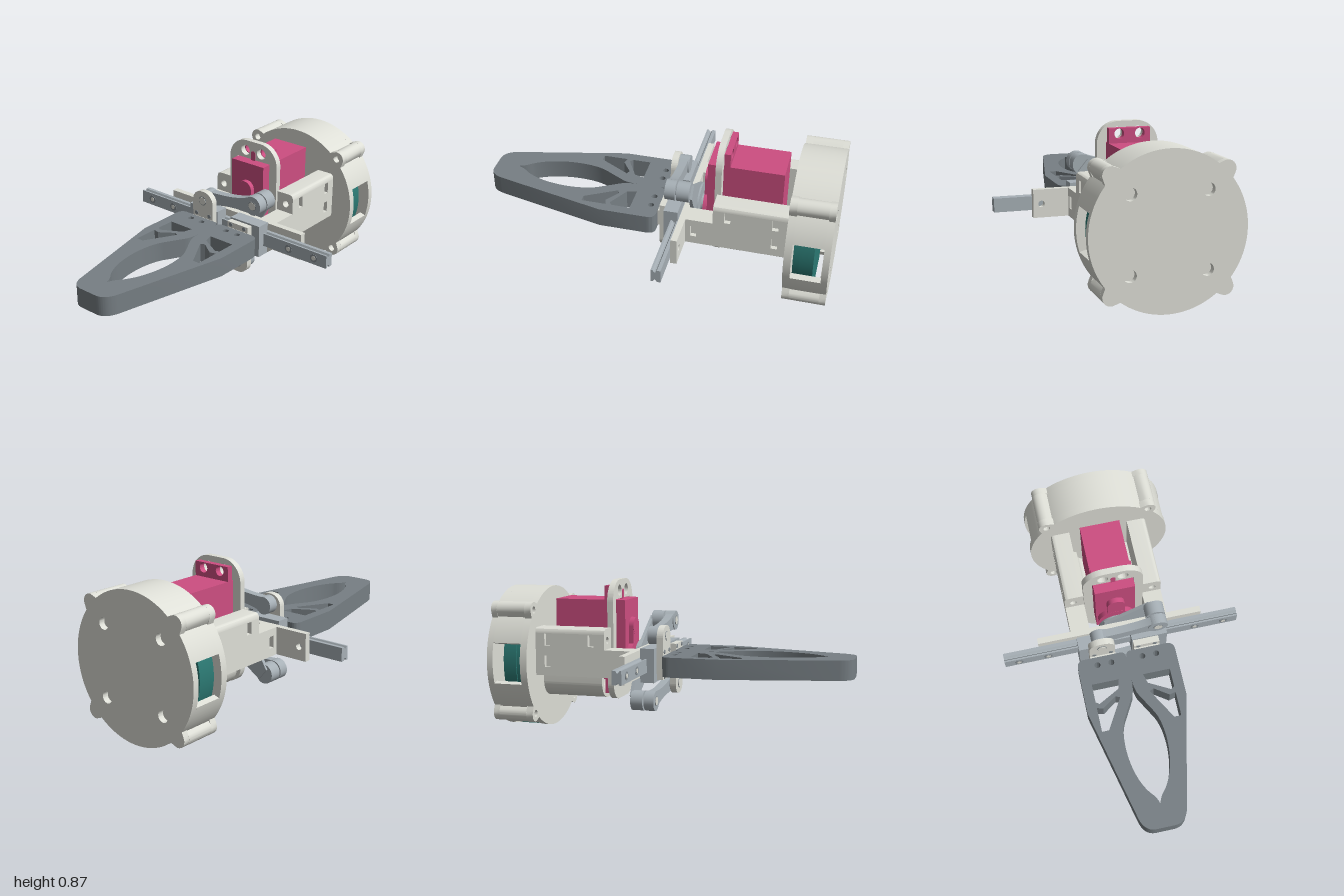
import * as THREE from 'three';
import { toCreasedNormals } from 'three/addons/utils/BufferGeometryUtils.js';

const mat = (name, color) => {
  const m = new THREE.MeshStandardMaterial({ color });
  m.name = name;
  return m;
};

export function createModel() {
  const shell = mat('pale shell', 0xdedfd7);
  const pink = mat('servo pink', 0xcd4e81);
  const steel = mat('steel grey', 0xa7b0b6);
  const dark = mat('finger grey', 0x777f84);
  const screwGrey = mat('screw grey', 0x878f94);
  const teal = mat('board teal', 0x2c7a74);
  const root = new THREE.Group();
  const CY = 0.41;

  // helpers
  const add = (parent, name, geo, material) => {
    const m = new THREE.Mesh(geo, material);
    m.name = name;
    parent.add(m);
    return m;
  };
  const vecs = (pts) => pts.map(([x, y]) => new THREE.Vector2(x, y));
  const poly = (pts) => new THREE.Shape(vecs(pts));
  const hole = (s, x, y, r) => {
    const p = new THREE.Path();
    p.absarc(x, y, r, 0, Math.PI * 2, true);
    s.holes.push(p);
    return s;
  };
  const rectPts = (x0, y0, x1, y1) => [[x0, y0], [x1, y0], [x1, y1], [x0, y1]];
  // extrude from z0 to z1, with the outline always counter-clockwise so hole walls face inwards
  const ext = (s, z0, z1) => {
    const { shape, holes } = s.extractPoints(20);
    if (THREE.ShapeUtils.isClockWise(shape)) shape.reverse();
    const ordered = new THREE.Shape(shape);
    ordered.holes = holes.map((h) => new THREE.Path(h));
    const geo = new THREE.ExtrudeGeometry(ordered, { depth: z1 - z0, bevelEnabled: false });
    return toCreasedNormals(geo.translate(0, 0, z0), 0.5);
  };
  const box = (x0, y0, z0, x1, y1, z1) => new THREE.BoxGeometry(x1 - x0, y1 - y0, z1 - z0)
    .translate((x0 + x1) / 2, (y0 + y1) / 2, (z0 + z1) / 2);
  const rod = (x, y, r, z0, z1, seg = 32) => new THREE.CylinderGeometry(r, r, z1 - z0, seg)
    .rotateX(Math.PI / 2).translate(x, y, (z0 + z1) / 2);
  // rounded rectangle with separate bottom and top corner radii
  const roundRect = (x0, y0, x1, y1, rb, rt) => {
    const s = new THREE.Shape();
    s.moveTo(x0 + rb, y0).lineTo(x1 - rb, y0);
    if (rb) s.absarc(x1 - rb, y0 + rb, rb, -Math.PI / 2, 0);
    s.lineTo(x1, y1 - rt).absarc(x1 - rt, y1 - rt, rt, 0, Math.PI / 2);
    s.lineTo(x0 + rt, y1).absarc(x0 + rt, y1 - rt, rt, Math.PI / 2, Math.PI);
    s.lineTo(x0, y0 + rb);
    if (rb) s.absarc(x0 + rb, y0 + rb, rb, Math.PI, Math.PI * 1.5);
    return s;
  };

  // round housing with four lugs and three open windows
  const housing = new THREE.Group();
  housing.name = 'housing';
  root.add(housing);
  const outline = (a) => {
    const quarter = Math.PI / 2;
    const d = ((a % quarter) + quarter) % quarter - Math.PI / 4;
    const k = 0.046 ** 2 - (0.417 * Math.sin(d)) ** 2;
    const r = k > 0 ? Math.max(0.41, 0.417 * Math.cos(d) + Math.sqrt(k)) : 0.41;
    return [r * Math.cos(a), CY + r * Math.sin(a)];
  };
  const arcPts = (a, b, n, f = outline) => Array.from({ length: n + 1 }, (_, i) => f(a + (b - a) * i / n));
  const disc = () => poly(arcPts(0, Math.PI * 2, 240).slice(0, -1));
  const back = disc(), front = disc();
  for (const sx of [-1, 1]) {
    for (const sy of [-1, 1]) {
      hole(back, sx * 0.2, CY + sy * 0.2, 0.033);
      hole(front, sx * 0.295, CY + sy * 0.295, 0.02);
      add(housing, 'screwSeat', rod(sx * 0.2, CY + sy * 0.2, 0.045, -0.966, -0.955), shell);
    }
    hole(front, sx * 0.23, 0.54, 0.02);
  }
  add(housing, 'backPlate', ext(back, -1, -0.965), shell);
  add(housing, 'frontPlate', ext(front, -0.8, -0.76), shell);
  const w = 0.285, wb = 0.4, inner = (a) => [0.375 * Math.cos(a), CY + 0.375 * Math.sin(a)];
  for (const [a, b] of [[w, Math.PI - w], [Math.PI + w, Math.PI * 1.5 - wb], [Math.PI * 1.5 + wb, Math.PI * 2 - w]]) {
    const wall = poly([...arcPts(a, b, 100), ...arcPts(b, a, 60, inner)]);
    add(housing, 'housingWall', ext(wall, -0.965, -0.8), shell);
  }
  add(housing, 'circuitBoard', rod(0, CY, 0.372, -0.915, -0.84, 64), teal);
  add(housing, 'boardCover', rod(0, CY, 0.365, -0.84, -0.805, 64), teal);
  add(housing, 'lowerSocket', box(-0.14, 0.025, -0.915, 0.14, 0.1, -0.81), teal);

  // side brackets: inner block with a bolt channel, outer skin with nut slots
  for (const s of [-1, 1]) {
    const bracket = new THREE.Group();
    bracket.name = s > 0 ? 'leftBracket' : 'rightBracket';
    root.add(bracket);
    const section = [[0.17, 0.335], [0.255, 0.335], [0.255, 0.575], [0.28, 0.575],
      [0.279, 0.587], [0.273, 0.598], [0.263, 0.604], [0.255, 0.605], [0.17, 0.605]];
    const block = hole(poly(section.map(([x, y]) => [s * x, y])), s * 0.23, 0.54, 0.02);
    add(bracket, 'bracketBlock', ext(block, -0.76, -0.35), shell);
    add(bracket, 'bracketArm', box(s > 0 ? 0.17 : -0.255, 0.335, -0.35, s > 0 ? 0.255 : -0.17, 0.49, -0.2), shell);
    const skin = poly([[0.76, 0.335], [0.2, 0.335], [0.2, 0.49], [0.35, 0.49], [0.35, 0.575], [0.76, 0.575]]);
    for (const [z, y] of [[0.245, 0.415], [0.69, 0.415], [0.43, 0.538], [0.69, 0.538]]) {
      skin.holes.push(new THREE.Path(vecs(rectPts(z - 0.017, y - 0.033, z + 0.017, y + 0.033))));
    }
    // extruded along z, then turned so the depth runs along x
    const geo = ext(skin, s > 0 ? 0.255 : -0.28, s > 0 ? 0.28 : -0.255).rotateY(Math.PI / 2);
    add(bracket, 'bracketSkin', geo, shell);
  }

  // curved trough beneath the servo
  const trough = new THREE.Shape();
  trough.moveTo(-0.172, 0.34).lineTo(-0.172, 0.29).absarc(-0.072, 0.29, 0.1, Math.PI, Math.PI * 1.5)
    .lineTo(0.072, 0.19).absarc(0.072, 0.29, 0.1, -Math.PI / 2, 0).lineTo(0.172, 0.34)
    .lineTo(0.14, 0.34).lineTo(0.14, 0.29).absarc(0.07, 0.29, 0.07, 0, -Math.PI / 2, true)
    .lineTo(-0.07, 0.22).absarc(-0.07, 0.29, 0.07, -Math.PI / 2, -Math.PI, true).lineTo(-0.14, 0.34);
  add(root, 'servoTrough', ext(trough, -0.76, -0.405), shell);

  // servo mounting plate
  const plate = roundRect(-0.17, 0.185, 0.17, 0.868, 0.1, 0.12);
  plate.holes.push(new THREE.Path(vecs(rectPts(-0.118, 0.298, 0.118, 0.76))));
  for (const x of [-0.057, 0.057]) hole(plate, x, 0.807, 0.031);
  add(root, 'servoPlate', ext(plate, -0.37, -0.335), shell);

  // servo
  const servo = new THREE.Group();
  servo.name = 'servo';
  root.add(servo);
  add(servo, 'servoBody', box(-0.114, 0.3, -0.7, 0.114, 0.755, -0.283), pink);
  const flange = poly(rectPts(-0.114, 0.22, 0.114, 0.835));
  for (const x of [-0.057, 0.057]) for (const y of [0.25, 0.805]) hole(flange, x, y, 0.027);
  add(servo, 'servoFlange', ext(flange, -0.405, -0.371), pink);
  add(servo, 'servoRib', ext(roundRect(-0.015, 0.755, 0.015, 0.812, 0, 0.0149), -0.371, -0.333), pink);
  add(servo, 'gearCover', rod(0, CY, 0.105, -0.283, -0.255), pink);
  add(servo, 'gearBump', rod(0, 0.6, 0.05, -0.283, -0.255), pink);
  add(servo, 'gearBridge', box(-0.05, 0.45, -0.283, 0.05, 0.6, -0.256), pink);
  add(servo, 'servoShaft', rod(0, CY, 0.05, -0.255, -0.235), steel);
  add(servo, 'hornHub', rod(0, CY, 0.11, -0.232, -0.205), steel);

  // rail and its backing plate
  const backing = poly(rectPts(-0.475, 0.335, 0.475, 0.49));
  for (const x of [-0.43, 0.43]) hole(backing, x, CY, 0.018);
  add(root, 'railPlate', ext(backing, -0.2, -0.165), shell);
  const half = [[0.165, 0.372], [0.145, 0.372], [0.138, 0.385], [0.13, 0.385], [0.122, 0.372], [0.112, 0.372]];
  const railShape = poly([...half, ...half.map(([z, y]) => [z, 2 * CY - y]).reverse()]);
  add(root, 'rail', ext(railShape, -0.682, 0.682).rotateY(Math.PI / 2), steel);
  for (const x of [-0.6, -0.43, 0.43, 0.6]) {
    add(root, 'railBoltRim', rod(x, CY, 0.024, -0.114, -0.11), screwGrey);
    add(root, 'railBolt', rod(x, CY, 0.013, -0.114, -0.108), shell);
  }

  // one half of the gripper, centred on the servo axis; the other is a half turn of it
  for (const turn of [0, Math.PI]) {
    const g = new THREE.Group();
    g.name = turn ? 'leftGripper' : 'rightGripper';
    g.position.y = CY;
    g.rotation.z = turn;
    root.add(g);

    // horn arm with its end boss
    const arm = poly([[0.08, -0.08], [0.225, 0.175], [0.175, 0.235], [-0.08, 0.08]]);
    add(g, 'hornArm', ext(arm, -0.222, -0.203), steel);
    add(g, 'hornBoss', rod(0.2, 0.205, 0.056, -0.21, -0.14), steel);

    // curved link to the carriage
    const link = new THREE.Shape();
    link.moveTo(0.185, 0.259).quadraticCurveTo(0.1, 0.205, -0.13, 0.2)
      .lineTo(-0.13, 0.11).quadraticCurveTo(0.02, 0.165, 0.21, 0.15);
    add(g, 'link', ext(link, -0.125, -0.08), steel);
    add(g, 'linkBoss', rod(0.2, 0.205, 0.056, -0.132, -0.075), steel);
    add(g, 'linkEnd', rod(-0.13, 0.155, 0.05, -0.132, -0.072), steel);
    add(g, 'pivotRim', rod(0.2, 0.205, 0.027, -0.14, -0.073), screwGrey);
    add(g, 'pivotPin', rod(0.2, 0.205, 0.023, -0.14, -0.071), shell);

    // carriage and finger mount
    add(g, 'carriage', box(-0.255, -0.095, -0.15, -0.05, 0.095, -0.071), steel);
    add(g, 'fingerMount', ext(roundRect(-0.202, -0.085, -0.055, 0.212, 0, 0.065), -0.071, -0.035), shell);
    add(g, 'mountTongue', box(-0.202, -0.05, -0.036, -0.055, 0.05, -0.02), shell);
    add(g, 'mountRim', rod(-0.13, 0.155, 0.027, -0.04, -0.033), screwGrey);
    add(g, 'mountPin', rod(-0.13, 0.155, 0.023, -0.04, -0.031), shell);
    for (const x of [-0.175, -0.08]) for (const y of [-0.07, 0.07]) {
      add(g, 'mountScrew', rod(x, y, 0.012, -0.038, -0.032, 16), screwGrey);
    }

    // finger outline in plan, with lightening windows
    const f = new THREE.Shape();
    f.moveTo(-0.03, -0.025).lineTo(-0.24, -0.025).quadraticCurveTo(-0.282, -0.025, -0.282, 0.025)
      .lineTo(-0.282, 0.29).lineTo(-0.135, 0.92).quadraticCurveTo(-0.115, 1, -0.05, 1).lineTo(0, 1)
      .lineTo(0, 0.87).quadraticCurveTo(-0.01, 0.83, -0.04, 0.8)
      .bezierCurveTo(-0.13, 0.68, -0.135, 0.46, -0.085, 0.36)
      .quadraticCurveTo(-0.04, 0.28, -0.015, 0.235).quadraticCurveTo(0, 0.2, 0, 0.14)
      .lineTo(0, 0.02).quadraticCurveTo(0, -0.025, -0.03, -0.025);
    const windows = [
      [[0.07, 0.13], [0.225, 0.13], [0.225, 0.235], [0.205, 0.25], [0.085, 0.185]],
      [[0.085, 0.235], [0.11, 0.225], [0.19, 0.28], [0.225, 0.27], [0.225, 0.41], [0.185, 0.41]],
    ];
    for (const win of windows) f.holes.push(new THREE.Path(vecs(win.map(([x, z]) => [-x, z]))));
    for (const x of [-0.09, -0.17]) hole(f, x, 0.022, 0.017);
    add(g, 'finger', ext(f, -0.055, 0.055).rotateX(Math.PI / 2), dark);
  }
  return root;
}
